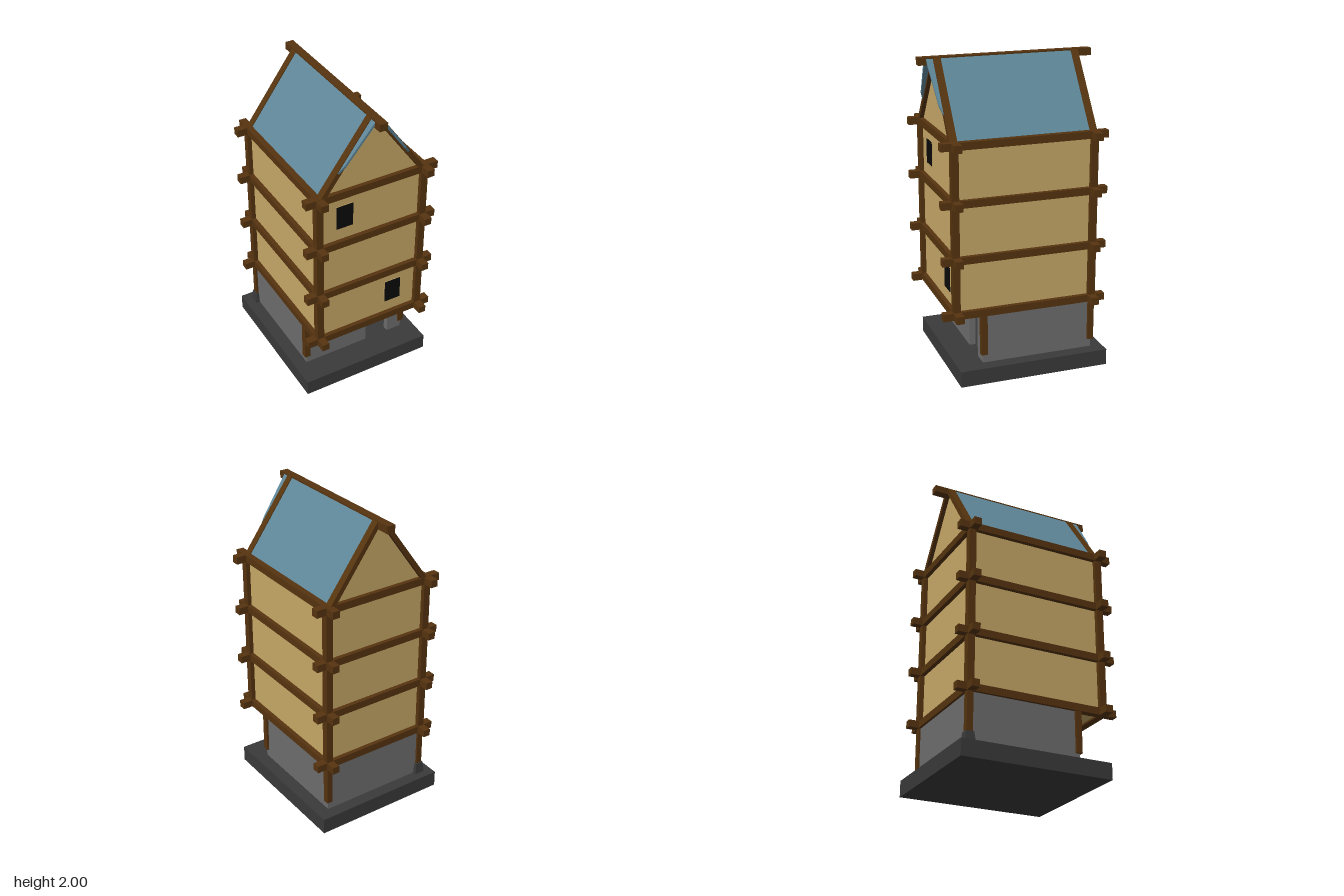
import * as THREE from 'three';

const mat = (name, color) => {
  const m = new THREE.MeshStandardMaterial({ color });
  m.name = name;
  return m;
};

export function createModel() {
  const model = new THREE.Group();
  model.name = 'timberHouse';
  const slate = mat('darkFoundation', 0x3a3a3a);
  const stone = mat('greyStone', 0x6e6e6e);
  const plaster = mat('ochrePlaster', 0xc8a968);
  const wood = mat('brownTimber', 0x56340f);
  const blue = mat('blueRoof', 0x5f8799);
  const black = mat('blackWindow', 0x0a0a0a);

  const add = (name, geo, material) => {
    const mesh = new THREE.Mesh(geo, material);
    mesh.name = name;
    model.add(mesh);
    return mesh;
  };
  // Box given by its minimum and maximum on each axis
  const box = (name, material, x0, x1, y0, y1, z0, z1) => {
    const geo = new THREE.BoxGeometry(x1 - x0, y1 - y0, z1 - z0);
    geo.translate((x0 + x1) / 2, (y0 + y1) / 2, (z0 + z1) / 2);
    return add(name, geo, material);
  };
  const outline = (points) => new THREE.Shape(points.map(([x, y]) => new THREE.Vector2(x, y)));
  const extrude = (points, depth) =>
    new THREE.ExtrudeGeometry(outline(points), { depth, bevelEnabled: false });

  // Foundation and hollow stone ground floor with a doorway
  box('foundation', slate, -0.45, 0.45, 0, 0.105, -0.535, 0.45);
  box('stoneBackWall', stone, -0.365, 0.365, 0.105, 0.45, -0.457, -0.42);
  for (const s of [-1, 1]) {
    const a = s * 0.365, b = s * 0.33;
    box('stoneSideWall', stone, Math.min(a, b), Math.max(a, b), 0.105, 0.45, -0.42, 0.24);
  }
  const front = extrude([
    [-0.365, 0.105], [0.09, 0.105], [0.09, 0.38], [0.26, 0.38],
    [0.26, 0.105], [0.365, 0.105], [0.365, 0.45], [-0.365, 0.45],
  ], 0.04);
  add('stoneFrontWall', front.translate(0, 0, 0.24), stone);

  // Tapered footing under one back post
  const footing = new THREE.CylinderGeometry(0.026 * Math.SQRT2, 0.034 * Math.SQRT2, 0.075, 4)
    .toNonIndexed();
  footing.rotateY(Math.PI / 4).translate(-0.36, 0.1425, -0.45);
  footing.computeVertexNormals();
  add('footing', footing, slate);

  // Plaster storeys and gable
  box('plasterWalls', plaster, -0.355, 0.355, 0.44, 1.54, -0.445, 0.445);
  const gable = extrude([[-0.335, 1.54], [0.335, 1.54], [0, 1.98]], 0.03);
  add('frontGable', gable.clone().translate(0, 0, 0.415), plaster);
  add('backGable', gable.translate(0, 0, -0.445), plaster);

  // Corner posts
  for (const s of [-1, 1]) {
    const x = s * 0.36;
    for (const z of [-0.45, 0.45])
      box('cornerPost', wood, x - 0.023, x + 0.023, 0.43, 1.55, z - 0.023, z + 0.023);
    for (const z of [-0.45, 0.272])
      box('groundPost', wood, x - 0.02, x + 0.02, 0.162, 0.44, z - 0.02, z + 0.02);
  }

  // Crossing beams around each floor
  for (let i = 0; i < 4; i++) {
    const y = 0.452 + i * 0.359;
    for (const s of [-1, 1]) {
      box('crossBeam', wood, -0.45, 0.45, y - 0.024, y + 0.024, s * 0.448 - 0.025, s * 0.448 + 0.025);
      box('sideBeam', wood, s * 0.36 - 0.024, s * 0.36 + 0.024, y - 0.0235, y + 0.0235, -0.538, 0.538);
    }
  }

  // Windows
  for (const [x, y] of [[-0.18, 1.357], [0.177, 0.638]]) {
    box('windowFrame', plaster, x - 0.062, x + 0.062, y - 0.092, y + 0.08, 0.444, 0.448);
    box('windowPane', black, x - 0.056, x + 0.056, y - 0.079, y + 0.079, 0.445, 0.452);
  }

  // Ridge, rafters and roof sheets
  box('ridgeBeam', wood, -0.027, 0.027, 1.953, 2, -0.563, 0.563);
  const slope = new THREE.Vector2(0.327, -0.45).normalize();
  for (const s of [-1, 1]) {
    const rafter = extrude(
      [[s * 0.357, 1.545], [s * 0.028, 1.998], [0, 1.985], [s * 0.318, 1.545]], 0.048);
    for (const z of [-0.448, 0.448])
      add('rafter', rafter.clone().translate(0, 0, z - 0.024), wood);

    // The sheet sweeps forward past the front rafter near the ridge
    const sheet = extrude([
      [0, -0.44], [0.545, -0.44], [0.545, 0.44], [0.43, 0.45],
      [0.385, 0.468], [0.31, 0.49], [0, 0.514],
    ], 0.014).translate(0, 0, -0.007);
    const along = new THREE.Vector3(s * slope.x, slope.y, 0);
    const forward = new THREE.Vector3(0, 0, 1);
    const normal = along.clone().cross(forward);
    sheet.applyMatrix4(new THREE.Matrix4().makeBasis(along, forward, normal));
    add('roofSheet', sheet.translate(s * 0.019, 1.99, 0), blue);
  }
  return model;
}
